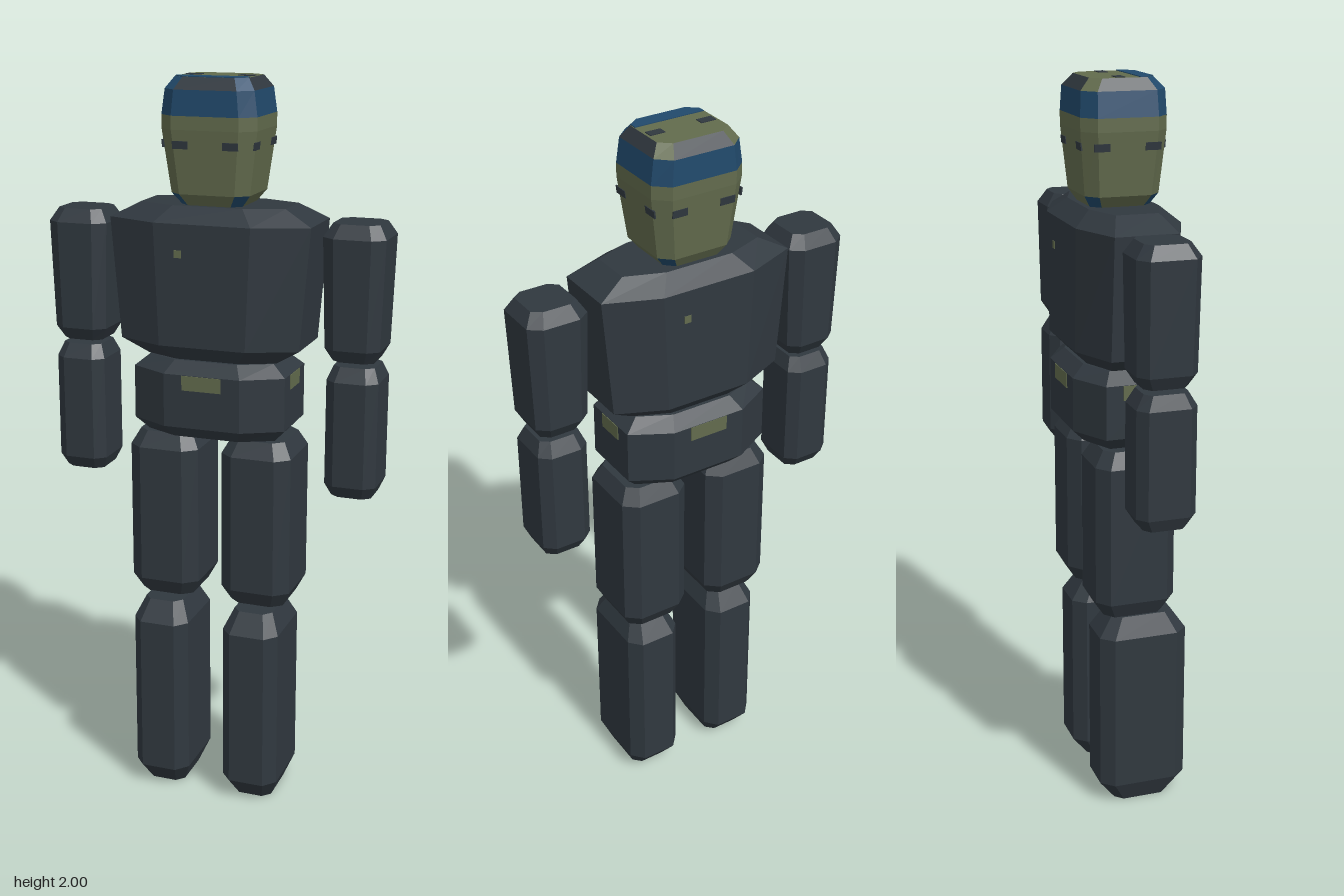
import * as THREE from 'three';

const mat = (name, color) => {
  const m = new THREE.MeshStandardMaterial({ color });
  m.name = name;
  return m;
};

// Faceted eight-sided body from rings [y, half width, half depth, z shift];
// kx and kz give the share of width and depth left flat between the corners.
// pick(ring, side) chooses a material index; side 7 is front, even sides are corners.
function loft(rings, kx, kz, pick = () => 0) {
  const loops = rings.map(([y, w, d, s = 0]) => {
    const a = w * kx, b = d * kz;
    return [[a, d], [w, b], [w, -b], [a, -d], [-a, -d], [-w, -b], [-w, b], [-a, d]]
      .map(([x, z]) => [x, y, z + s]);
  });
  const pos = [];
  const geo = new THREE.BufferGeometry();
  const face = (index, ...tris) => {
    geo.addGroup(pos.length / 3, tris.length, index);
    tris.forEach((p) => pos.push(...p));
  };
  for (let i = 0; i < loops.length - 1; i++) {
    const lo = loops[i], hi = loops[i + 1];
    for (let j = 0; j < 8; j++) {
      const k = (j + 1) % 8;
      face(pick(i, j), lo[j], lo[k], hi[k], lo[j], hi[k], hi[j]);
    }
  }
  const bottom = loops[0], top = loops[loops.length - 1];
  for (let j = 1; j < 7; j++) {
    face(pick(-1, j), bottom[0], bottom[j + 1], bottom[j]);
    face(pick(loops.length - 1, j), top[0], top[j], top[j + 1]);
  }
  geo.setAttribute('position', new THREE.Float32BufferAttribute(pos, 3));
  geo.computeVertexNormals();
  return geo;
}

export function createModel() {
  const root = new THREE.Group();
  root.name = 'figure';
  const cloth = mat('darkCloth', 0x30383f);
  const olive = mat('oliveSkin', 0x626b4d);
  const blue = mat('blueBand', 0x21496b);

  const add = (parent, name, geo, material, x = 0, y = 0, z = 0) => {
    const m = new THREE.Mesh(geo, material);
    m.name = name;
    m.position.set(x, y, z);
    parent.add(m);
    return m;
  };
  // Runs build(side group, index) for front, left, back and right
  const around = (name, steps, build) => {
    for (let i = 0; i < 4; i += 4 / steps) {
      const g = new THREE.Group();
      g.name = name;
      g.rotation.y = i * Math.PI / 2;
      root.add(g);
      build(g, i);
    }
  };

  // Torso with a small badge on chest and back
  add(root, 'torso', loft([
    [1.267, 0.18, 0.1], [1.31, 0.25, 0.142], [1.635, 0.277, 0.142], [1.675, 0.2, 0.095],
  ], 0.48, 0.6), [cloth]);
  around('badgeSide', 2, (g) => {
    add(g, 'badge', new THREE.BoxGeometry(0.02, 0.02, 0.004), olive, -0.065, 1.557, 0.142);
  });

  // Hips with a buckle on each side
  add(root, 'hips', loft([
    [1.055, 0.18, 0.11], [1.09, 0.213, 0.145], [1.235, 0.213, 0.145], [1.267, 0.175, 0.11],
  ], 0.5, 0.6), [cloth]);
  around('buckleSide', 4, (g, i) => {
    const w = i % 2 ? 0.08 : 0.11;
    add(g, 'buckle', new THREE.BoxGeometry(w, 0.04, 0.004), olive, 0, 1.214, i % 2 ? 0.213 : 0.145);
  });

  // Arms and legs, mirrored
  const limbs = [
    ['upperArm', 0.384, 0.6, [
      [1.285, 0.055, 0.058], [1.32, 0.074, 0.08], [1.61, 0.083, 0.084], [1.645, 0.062, 0.06]]],
    ['forearm', 0.387, 0.6, [
      [0.915, 0.055, 0.058], [0.95, 0.07, 0.08], [1.235, 0.07, 0.08], [1.273, 0.055, 0.058]]],
    ['thigh', 0.132, 0.62, [
      [0.58, 0.075, 0.085], [0.625, 0.098, 0.111], [1.01, 0.098, 0.111], [1.053, 0.075, 0.085]]],
    ['lowerLeg', 0.132, 0.62, [
      [0, 0.055, 0.078, 0.028], [0.06, 0.08, 0.124, 0.028],
      [0.51, 0.08, 0.124, 0.028], [0.567, 0.055, 0.085, 0.028]]],
  ];
  for (const [name, x, k, rings] of limbs) {
    const geo = loft(rings, k, k + 0.1);
    add(root, name + 'Left', geo, [cloth], x);
    add(root, name + 'Right', geo, [cloth], -x);
  }

  // Head: skin, blue band, dark upper bevel with coloured corners
  const corner = (j) => j % 2 === 0;
  add(root, 'head', loft([
    [1.67, 0.08, 0.078], [1.705, 0.108, 0.1], [1.87, 0.13, 0.115],
    [1.905, 0.13, 0.115], [1.97, 0.121, 0.112], [2, 0.1, 0.085],
  ], 0.7, 0.7, (i, j) => {
    if (i === 0 && corner(j)) return 2;
    if (i === 3) return 2;
    if (i === 4) return !corner(j) ? 0 : j === 0 || j === 6 ? 2 : 1;
    return 1;
  }), [cloth, olive, blue]);

  // A pair of eyes on each side of the head, following its slope
  around('eyeSide', 4, (g, i) => {
    const out = i % 2 ? 0.1247 : 0.1114;
    for (const s of [-1, 1]) {
      const eye = add(g, 'eye', new THREE.BoxGeometry(0.042, 0.02, 0.004), cloth, s * 0.068, 1.832, out);
      eye.rotation.x = i % 2 ? 0.133 : 0.091;
    }
  });

  // Crown markings
  const strip = new THREE.Shape([[-0.098, 0.042], [0.098, 0.042], [0.098, 0.06], [0.07, 0.084],
    [-0.07, 0.084], [-0.098, 0.06]].map(([x, z]) => new THREE.Vector2(x, z)));
  const crown = new THREE.ExtrudeGeometry(strip, { depth: 0.003, bevelEnabled: false });
  add(root, 'crownStrip', crown, blue, 0, 2.002, 0).rotation.x = Math.PI / 2;
  for (const s of [-1, 1]) {
    add(root, 'crownMark', new THREE.BoxGeometry(0.042, 0.003, 0.024), cloth, s * 0.072, 2.0005, -0.008);
  }
  return root;
}
